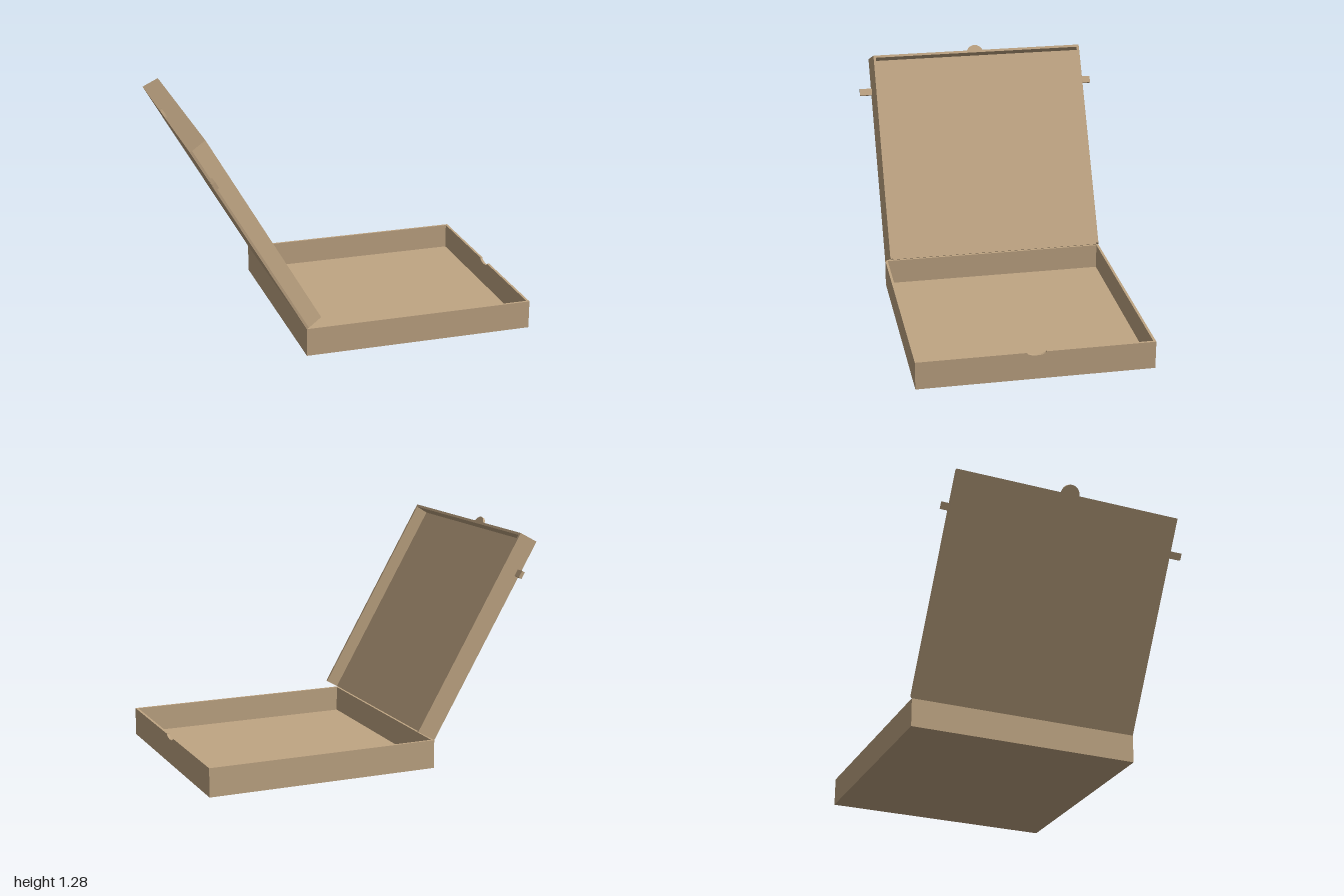
import * as THREE from 'three';

const SIZE = 1.316, HALF = SIZE / 2, HEIGHT = 0.16, T = 0.014;
const LID_LENGTH = 1.235, LID_DEPTH = 0.102, TILT = 0.022, TAB_S = 1.03;

export function createModel() {
  const model = new THREE.Group();
  model.name = 'hingedBox';
  const card = new THREE.MeshStandardMaterial({ color: 0xbfa583, flatShading: true });

  const add = (parent, name, geometry) => {
    const mesh = new THREE.Mesh(geometry, card);
    mesh.name = name;
    parent.add(mesh);
    return mesh;
  };
  const box = (parent, name, w, h, d, x, y, z) =>
    add(parent, name, new THREE.BoxGeometry(w, h, d)).position.set(x, y, z);

  // Extrudes a cross-section drawn in (-z, y) along x
  const extrudeX = (shape, x0, length) =>
    new THREE.ExtrudeGeometry(shape, { depth: length, bevelEnabled: false, curveSegments: 16 })
      .rotateY(Math.PI / 2).translate(x0, 0, 0);
  const polygon = (points) => new THREE.Shape(points.map(([a, b]) => new THREE.Vector2(a, b)));

  // Tray: floor, back wall, two side walls
  const base = new THREE.Group();
  base.name = 'base';
  model.add(base);
  box(base, 'floor', SIZE, T, SIZE, 0, T / 2, 0);
  box(base, 'backWall', T, HEIGHT - T, SIZE, -HALF + T / 2, (HEIGHT + T) / 2, 0);
  for (const side of [-1, 1]) {
    box(base, side > 0 ? 'frontSideWall' : 'rearSideWall',
      SIZE - 2 * T, HEIGHT - T, T, 0, (HEIGHT + T) / 2, side * (HALF - T / 2));
  }

  // Opening wall with a shallow finger notch in its rim
  const wall = new THREE.Shape();
  wall.moveTo(-HALF, T);
  wall.lineTo(HALF, T);
  wall.lineTo(HALF, HEIGHT);
  wall.lineTo(0.054, HEIGHT);
  wall.absellipse(0, HEIGHT, 0.054, 0.019, 0, Math.PI, true);
  wall.lineTo(-HALF, HEIGHT);
  add(base, 'notchedWall', extrudeX(wall, HALF - T, T));

  // Lid: local x runs from the hinge to the free edge, local -y is its inside
  const lid = new THREE.Group();
  lid.name = 'lid';
  lid.position.set(-HALF, HEIGHT, 0);
  lid.rotation.z = THREE.MathUtils.degToRad(120);
  model.add(lid);
  box(lid, 'lidPanel', LID_LENGTH, T, SIZE, LID_LENGTH / 2, -T / 2, 0);

  // Lid side walls lean inward towards the rim
  const rim = HALF - TILT;
  for (const side of [-1, 1]) {
    const section = polygon([
      [side * HALF, -T], [side * rim, -LID_DEPTH],
      [side * (rim - T), -LID_DEPTH], [side * (HALF - T), -T],
    ]);
    add(lid, 'lidSideWall', extrudeX(section, 0, LID_LENGTH));
  }

  // Lid end wall between the leaning sides
  const end = polygon([
    [-HALF + T, -T], [-rim + T, -LID_DEPTH], [rim - T, -LID_DEPTH], [HALF - T, -T],
  ]);
  add(lid, 'lidEndWall', extrudeX(end, LID_LENGTH - T, T));

  // Rounded pull tab on the free edge
  const tab = new THREE.Shape();
  tab.absellipse(0, 0, 0.052, 0.052, 0, Math.PI, false);
  add(lid, 'pullTab', new THREE.ExtrudeGeometry(tab, { depth: T, bevelEnabled: false, curveSegments: 16 })
    .rotateZ(-Math.PI / 2).rotateX(Math.PI / 2).translate(LID_LENGTH, 0, 0));

  // Small locking tabs sticking out at each side
  for (const [side, reach] of [[1, 0.07], [-1, 0.046]]) {
    box(lid, 'lockingTab', 0.04, 0.02, reach + 0.01, TAB_S, -0.014, side * (HALF + reach / 2 - 0.005));
  }

  // The whole box is turned slightly on its footprint
  model.rotation.y = 0.053;
  model.position.set(0.307, 0, -0.048);
  const root = new THREE.Group();
  root.name = 'openBox';
  root.add(model);
  return root;
}
